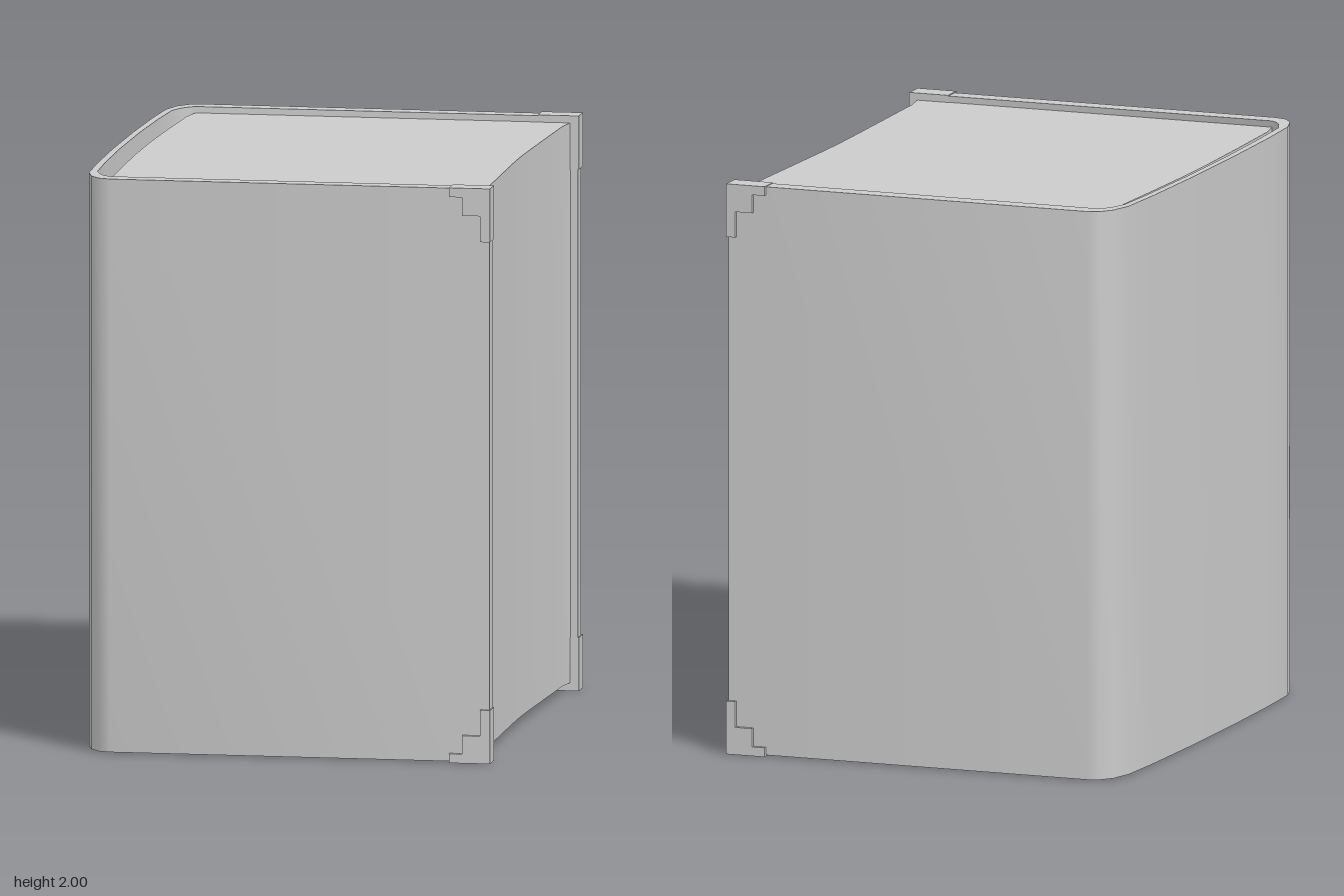
import * as THREE from 'three';
import { toCreasedNormals } from 'three/addons/utils/BufferGeometryUtils.js';

const material = new THREE.MeshStandardMaterial({ color: 0xcccccc });

// Mirrors half a profile (running from its edge to the z = 0 line) across z = 0
const mirrored = (half) => [
  ...half,
  ...half.filter((p) => p[1] !== 0).reverse().map(([x, z]) => [x, -z]),
];

// Extrudes a symmetric plan outline upward from y0 to y1
function upright(name, outline, y0, y1) {
  const shape = new THREE.Shape(outline.map(([x, z]) => new THREE.Vector2(x, z)));
  const geometry = new THREE.ExtrudeGeometry(shape, { depth: y1 - y0, bevelEnabled: false });
  geometry.rotateX(-Math.PI / 2).translate(0, y0, 0);
  const mesh = new THREE.Mesh(toCreasedNormals(geometry, 0.7), material);
  mesh.name = name;
  return mesh;
}

export function createModel() {
  const book = new THREE.Group();
  book.name = 'book';

  // Cover: two boards joined by a gently rounded spine
  const outer = mirrored([
    [0.716, 0.888], [-0.61, 0.888], [-0.65, 0.875], [-0.685, 0.83],
    [-0.708, 0.75], [-0.718, 0.55], [-0.725, 0.2], [-0.725, 0],
  ]);
  const inner = mirrored([
    [0.716, 0.825], [-0.62, 0.825], [-0.645, 0.805], [-0.662, 0.78],
    [-0.684, 0.72], [-0.694, 0.52], [-0.702, 0.2], [-0.702, 0],
  ]);
  book.add(upright('cover', [...outer, ...inner.reverse()], 0.004, 1.997));

  // Page block: rounded toward the spine, hollow along the fore edge
  const spineSide = mirrored([
    [-0.62, 0.825], [-0.635, 0.74], [-0.645, 0.45], [-0.652, 0.15], [-0.652, 0],
  ]);
  const foreEdge = mirrored([
    [0.69, 0.825], [0.678, 0.74], [0.671, 0.45], [0.664, 0.15], [0.662, 0],
  ]);
  book.add(upright('pages', [...spineSide, ...foreEdge.reverse()], 0.028, 1.975));

  // Stepped corner guards on both boards, top and bottom
  const steps = [
    [0.72, 0], [0.72, 0.186], [0.686, 0.186], [0.686, 0.096],
    [0.623, 0.096], [0.623, 0.032], [0.577, 0.032], [0.577, 0],
  ];
  for (const top of [false, true]) {
    const shape = new THREE.Shape(
      steps.map(([x, y]) => new THREE.Vector2(x, top ? 2 - y : y)));
    for (const side of [-1, 1]) {
      const geometry = new THREE.ExtrudeGeometry(shape, { depth: 0.081, bevelEnabled: false });
      geometry.translate(0, 0, side > 0 ? 0.822 : -0.903);
      const guard = new THREE.Mesh(geometry, material);
      guard.name = `${top ? 'top' : 'bottom'}${side > 0 ? 'Front' : 'Back'}CornerGuard`;
      book.add(guard);
    }
  }
  return book;
}
